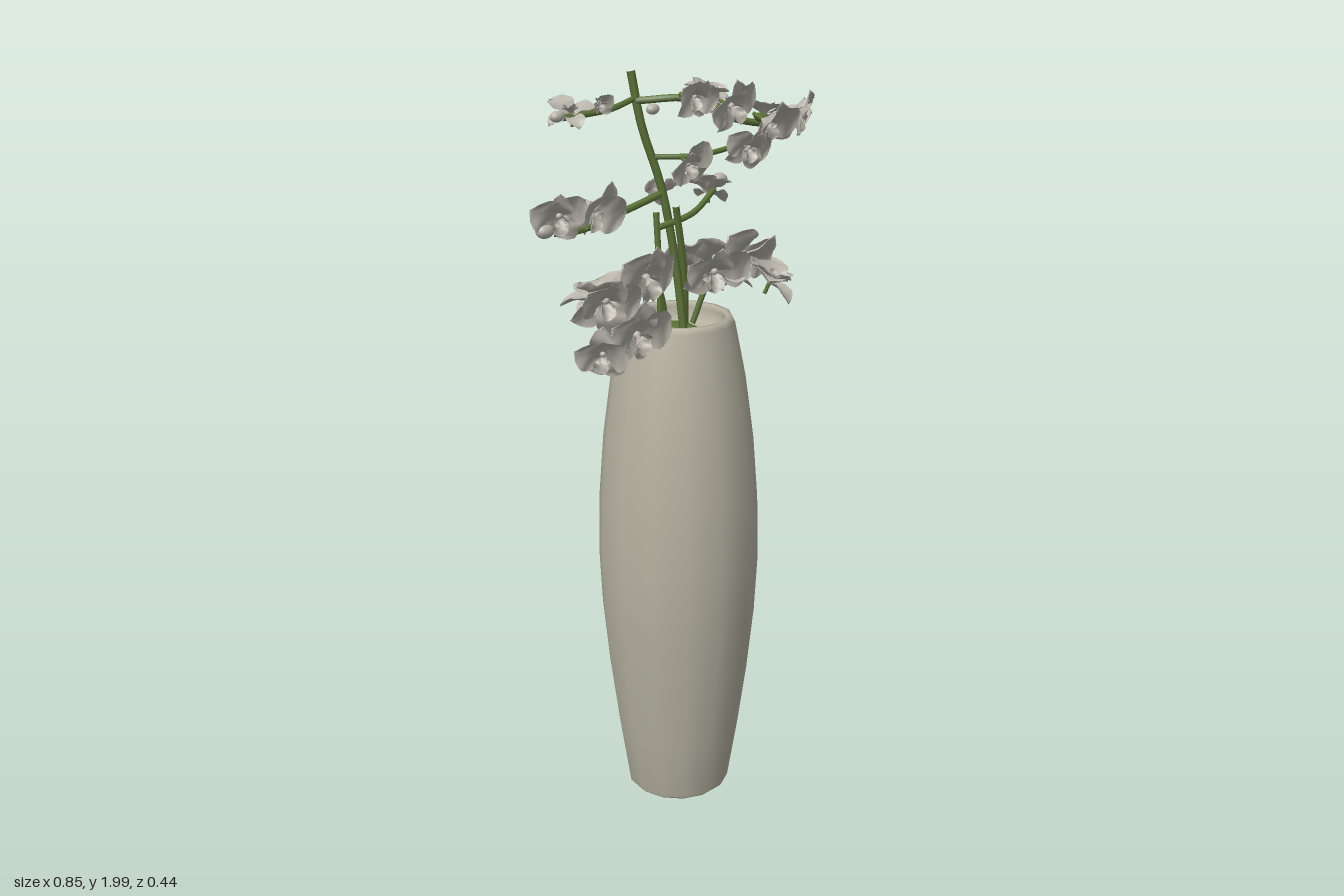
import * as THREE from 'three';
import { ParametricGeometry } from 'three/addons/geometries/ParametricGeometry.js';
import { mergeGeometries } from 'three/addons/utils/BufferGeometryUtils.js';

const V = (x, y, z) => new THREE.Vector3(x, y, z);

function mat(name, color) {
  const m = new THREE.MeshStandardMaterial({ color });
  m.name = name;
  return m;
}

// Small seeded generator, returns -1..1
function seeded(seed) {
  return () => {
    seed = (seed * 16807) % 2147483647;
    return (seed / 2147483647) * 2 - 1;
  };
}

// Unit petal growing along +y, facing +z, cupped and ruffled, with a face on each side
function petalGeometry(halfWidth, cup, tipBend, ruffle) {
  const sheet = (mirror, offset) => new ParametricGeometry((u, v, out) => {
    const side = (u * 2 - 1) * mirror;
    const w = halfWidth * Math.pow(Math.sin(Math.PI * Math.pow(0.04 + 0.96 * v, 1.2)), 0.6) + 0.03 * (1 - v);
    const z = cup * side * side * (w / halfWidth) + 0.12 * Math.sin(v * Math.PI) - tipBend * v * v
      + ruffle * Math.abs(side) * Math.sin(v * 14 + side * 2);
    out.set(side * w, v, z + offset * (1 - side * side));
  }, 8, 9);
  return mergeGeometries([sheet(1, 0), sheet(-1, -0.04)]);
}

export function createModel() {
  const model = new THREE.Group();
  model.name = 'orchidVase';
  const ceramic = mat('ceramic', 0xb5b2a1);
  const petalMat = mat('petal', 0xb8b4aa);
  const green = mat('stemGreen', 0x5d7338);

  const add = (parent, name, geometry, material) => {
    const mesh = new THREE.Mesh(geometry, material);
    mesh.name = name;
    parent.add(mesh);
    return mesh;
  };

  // Vase: outer wall, rolled rim and inner wall in one fourteen-sided turn
  const profile = [
    [0, 0], [0.128, 0], [0.141, 0.012], [0.167, 0.18], [0.191, 0.36], [0.209, 0.54],
    [0.217, 0.7], [0.213, 0.87], [0.2, 1.04], [0.177, 1.21], [0.148, 1.355],
    [0.141, 1.37], [0.128, 1.37], [0.121, 1.358], [0.124, 1.32], [0, 1.318],
  ].map(([r, y]) => new THREE.Vector2(r, y));
  const vase = add(model, 'vase', new THREE.LatheGeometry(profile, 14, Math.PI / 14), ceramic);
  vase.position.z = -0.012;

  // Moss mound at the foot of the stems
  const ball = new THREE.SphereGeometry(1, 12, 8);
  const moss = add(model, 'moss', ball, green);
  moss.position.set(0.0, 1.32, -0.03);
  moss.scale.set(0.07, 0.022, 0.07);

  // Stems and flower branches
  const tube = (name, radius, ...pts) => add(model, name,
    new THREE.TubeGeometry(new THREE.CatmullRomCurve3(pts.map((p) => V(...p))), 16, radius, 6), green);
  tube('mainStem', 0.011, [0.0, 1.32, 0.01], [-0.01, 1.5, -0.01], [-0.04, 1.7, -0.03], [-0.085, 1.86, -0.055], [-0.105, 1.992, -0.07]);
  tube('thinStem', 0.008, [-0.075, 1.32, 0.0], [-0.08, 1.5, 0.0], [-0.08, 1.65, -0.01]);
  tube('innerStem', 0.009, [0.035, 1.32, -0.02], [0.01, 1.48, 0], [-0.03, 1.66, 0.01]);
  tube('topLeftBranch', 0.008, [-0.1, 1.925, -0.065], [-0.2, 1.912, -0.045], [-0.34, 1.905, -0.06]);
  tube('topRightBranch', 0.009, [-0.1, 1.92, -0.06], [0, 1.925, 0.03], [0.12, 1.87, 0.03], [0.24, 1.84, 0.06], [0.36, 1.84, 0.04]);
  tube('lowerTopBranch', 0.007, [-0.06, 1.78, -0.04], [0.03, 1.78, 0.02], [0.14, 1.79, 0.04], [0.25, 1.82, 0.07]);
  tube('midLeftBranch', 0.009, [-0.03, 1.69, -0.03], [-0.16, 1.66, -0.04], [-0.29, 1.63, -0.06], [-0.36, 1.63, -0.08]);
  tube('midLeftTwig', 0.01, [-0.2, 1.65, -0.06], [-0.165, 1.66, -0.1], [-0.125, 1.67, -0.145]);
  tube('midRightBranch', 0.008, [-0.08, 1.61, -0.005], [0.04, 1.63, 0.0], [0.15, 1.67, -0.03]);
  tube('lowLeftBranch', 0.007, [-0.05, 1.35, 0.0], [-0.1, 1.47, 0.01], [-0.2, 1.48, 0.02], [-0.28, 1.45, 0.03]);
  tube('lowRightBranch', 0.008, [0.02, 1.35, 0.02], [0.06, 1.46, 0.05], [0.13, 1.48, 0.1]);

  // Flower parts shared by every bloom
  const broad = petalGeometry(0.54, 0.12, 0.05, 0.03);
  const narrow = petalGeometry(0.38, 0.1, 0.12, 0.025);
  const lip = petalGeometry(0.36, 0.25, -0.15, 0.04);
  const rand = seeded(4711);

  // Bloom: two broad petals, three narrow sepals, a curled lip and a column
  function flower(x, y, z, size, facing, open = 0.35) {
    const bloom = new THREE.Group();
    bloom.name = 'flower';
    const petal = (name, geometry, angle, length, tilt, forward) => {
      const pivot = new THREE.Group();
      pivot.name = name + 'Pivot';
      pivot.rotation.z = angle + rand() * 0.15;
      pivot.position.z = forward;
      const mesh = add(pivot, name, geometry, petalMat);
      mesh.rotation.x = tilt + rand() * 0.35;
      mesh.scale.setScalar(length * (1 + rand() * 0.1));
      bloom.add(pivot);
    };
    for (const s of [-1, 1]) {
      petal('broadPetal', broad, s * 1.2, 1, open, 0.04);
      petal('lowerSepal', narrow, s * 2.45, 0.9, open * 0.4, 0);
      petal('lipLobe', lip, s * 1.9, 0.38, 0.5, 0.1);
    }
    petal('upperSepal', narrow, 0, 0.95, open * 1.3, 0);
    petal('lip', lip, Math.PI, 0.6, 0.5, 0.1);
    const column = add(bloom, 'column', ball, petalMat);
    column.position.set(0, 0.04, 0.14);
    column.scale.setScalar(0.1);
    // Short stalk behind the bloom
    const stalk = add(bloom, 'stalk', new THREE.CylinderGeometry(0.06, 0.06, 0.4, 6), green);
    stalk.rotation.x = Math.PI / 2;
    stalk.position.z = -0.15;
    bloom.position.set(x, y, z);
    bloom.lookAt(x + facing[0], y + facing[1], z + facing[2]);
    bloom.rotateZ(rand() * 0.4);
    bloom.scale.setScalar(size);
    model.add(bloom);
  }

  // Top right spray
  flower(-0.015, 1.935, 0.05, 0.066, [-0.2, -0.3, 1]);
  flower(0.085, 1.905, 0.075, 0.085, [0.1, -0.4, 1]);
  flower(0.05, 1.925, 0.05, 0.07, [0.1, 0.9, 0.3], 0.2);
  flower(0.195, 1.86, 0.095, 0.088, [0.2, -0.45, 1]);
  flower(0.335, 1.855, 0.075, 0.085, [0.5, -0.4, 1]);
  flower(0.37, 1.85, 0.035, 0.06, [0.8, -0.7, 0.1]);
  flower(0.275, 1.855, 0.025, 0.07, [0.1, 1, -0.1], 0.2);
  flower(0.14, 1.80, 0.09, 0.07, [-0.3, -0.5, 1]);
  flower(-0.035, 1.775, 0.05, 0.075, [-0.3, -0.4, 1]);
  // Top left spray
  flower(-0.31, 1.905, -0.06, 0.07, [-0.2, 1, 0.1], 0.25);
  flower(-0.24, 1.935, -0.04, 0.042, [-0.3, -0.3, 0.8], 0.8);
  // Middle sprays
  flower(-0.26, 1.68, -0.055, 0.088, [0.1, -0.35, 1]);
  flower(-0.35, 1.675, -0.07, 0.082, [-0.5, -0.3, 0.8]);
  flower(-0.29, 1.655, -0.09, 0.075, [-0.2, 0.9, -0.4], 0.2);
  flower(0.14, 1.66, -0.04, 0.07, [0.2, 1, -0.2], 0.4);
  flower(0.015, 1.67, -0.085, 0.055, [0.1, 0.6, -0.8], 0.6);
  // Lower left spray
  flower(-0.17, 1.51, 0.03, 0.1, [0.1, -0.4, 1]);
  flower(-0.32, 1.485, 0.05, 0.1, [-0.4, -0.4, 1]);
  flower(-0.24, 1.385, 0.07, 0.105, [-0.1, -0.3, 1]);
  flower(-0.32, 1.35, 0.05, 0.085, [-0.8, -0.3, 0.6]);
  flower(-0.28, 1.46, 0.0, 0.105, [-0.2, 1, -0.2], 0.25);
  // Lower right spray
  flower(0.125, 1.525, 0.08, 0.115, [0.1, -0.4, 1]);
  flower(0.175, 1.45, 0.145, 0.088, [0.3, 1, 0.3]);
  flower(0.03, 1.5, 0.08, 0.095, [-0.4, -0.4, 0.8]);
  flower(0.1, 1.46, 0.05, 0.095, [0.1, 1, 0.0], 0.2);
  flower(0.11, 1.48, -0.05, 0.095, [0.3, 0.8, -0.6]);

  // Closed buds at the branch tips
  for (const [x, y, z, r] of [[-0.355, 1.91, -0.06, 0.016], [0.18, 1.69, -0.04, 0.022],
    [-0.385, 1.64, -0.08, 0.022], [-0.07, 1.9, -0.03, 0.016]]) {
    const bud = add(model, 'bud', ball, petalMat);
    bud.position.set(x, y, z);
    bud.scale.set(r * 1.2, r * 0.85, r * 0.85);
  }

  // Green bracts along the upper branches
  for (const [x, y, z, turn] of [[0.0, 1.93, 0.025, -0.2], [0.12, 1.885, 0.02, -0.4], [0.23, 1.855, 0.065, -0.3]]) {
    const bract = add(model, 'bract', ball, green);
    bract.position.set(x, y, z);
    bract.scale.set(0.034, 0.013, 0.016);
    bract.rotation.z = turn;
  }
  return model;
}
